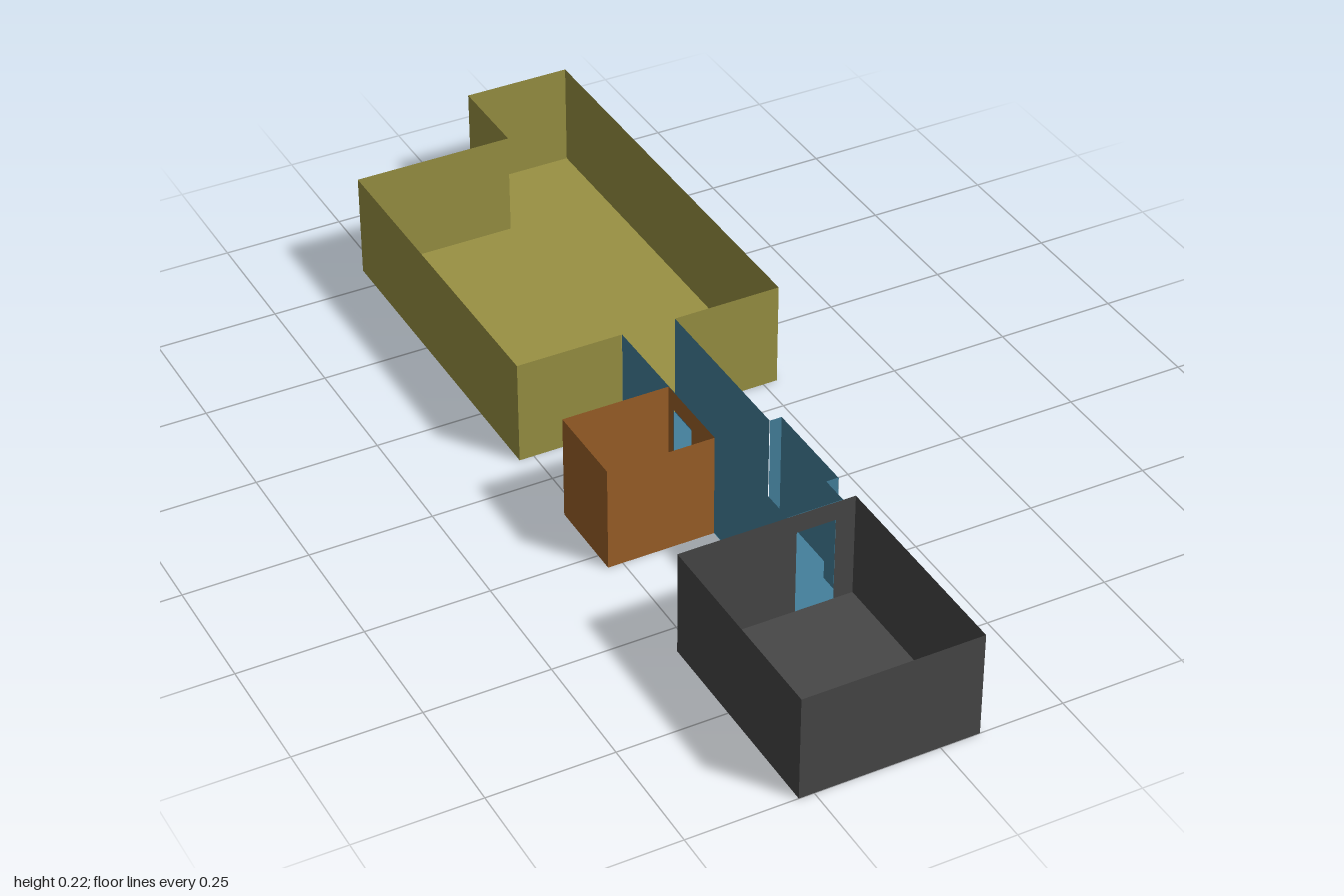
import * as THREE from 'three';

const H = 0.22;      // wall height
const DOOR_H = 0.18; // doorway height
const GAP = 0.001;   // inset that keeps shared walls of neighbouring rooms apart

// One upright wall from a to b ([x, z]); door = [start, end] distances along it
function wall(a, b, door, inset) {
  const dx = b[0] - a[0], dz = b[1] - a[1], len = Math.hypot(dx, dz);
  const shape = new THREE.Shape();
  shape.moveTo(0, 0);
  if (door) {
    shape.lineTo(door[0], 0);
    shape.lineTo(door[0], DOOR_H);
    shape.lineTo(door[1], DOOR_H);
    shape.lineTo(door[1], 0);
  }
  shape.lineTo(len, 0);
  shape.lineTo(len, H);
  shape.lineTo(0, H);
  const geo = new THREE.ShapeGeometry(shape);
  geo.rotateY(-Math.atan2(dz, dx));
  geo.translate(a[0] - dz / len * inset, 0, a[1] + dx / len * inset);
  return geo;
}

// Open-topped room over a floor outline, listed clockwise as seen from above.
// doors: { wallIndex: [start, end] }, open: indices of sides without a wall
function room(name, color, outline, { doors = {}, open = [], inset = 0 } = {}) {
  const group = new THREE.Group();
  group.name = name;
  const material = new THREE.MeshStandardMaterial({ color, side: THREE.DoubleSide, flatShading: true });
  const add = (geo, part) => {
    const mesh = new THREE.Mesh(geo, material);
    mesh.name = part;
    group.add(mesh);
  };
  const floor = new THREE.ShapeGeometry(new THREE.Shape(outline.map(([x, z]) => new THREE.Vector2(x, -z))));
  floor.rotateX(-Math.PI / 2);
  add(floor, name + 'Floor');
  outline.forEach((p, i) => {
    if (open.includes(i)) return;
    add(wall(p, outline[(i + 1) % outline.length], doors[i], inset), name + 'Wall' + i);
  });
  return group;
}

export function createModel() {
  const model = new THREE.Group();
  model.name = 'floorPlan';

  // Large L-shaped room at the back, its front wall interrupted by the corridor
  model.add(room('mainRoom', 0x999143, [
    [-0.28, -0.81], [0.055, -0.81], [0.055, -1], [0.28, -1],
    [0.28, -0.08], [0.055, -0.08], [-0.06, -0.08], [-0.28, -0.08],
  ], { open: [5] }));

  // Corridor with a shallow bay on its left side
  model.add(room('corridor', 0x44809c, [
    [-0.06, -0.08], [0.055, -0.08], [0.055, 0.29], [0.08, 0.29],
    [0.08, 0.5], [0.055, 0.5], [0.055, 0.56], [-0.06, 0.56],
  ], { open: [0], doors: { 6: [0.015, 0.095], 7: [0.36, 0.43] }, inset: GAP }));

  // Small side room
  model.add(room('sideRoom', 0x9c6028, [
    [-0.28, 0.11], [-0.06, 0.11], [-0.06, 0.29], [-0.28, 0.29],
  ], { doors: { 1: [0.02, 0.09] } }));

  // Front room
  model.add(room('frontRoom', 0x474747, [
    [-0.28, 0.56], [0.08, 0.56], [0.08, 1], [-0.28, 1],
  ], { doors: { 0: [0.24, 0.32] } }));

  return model;
}
